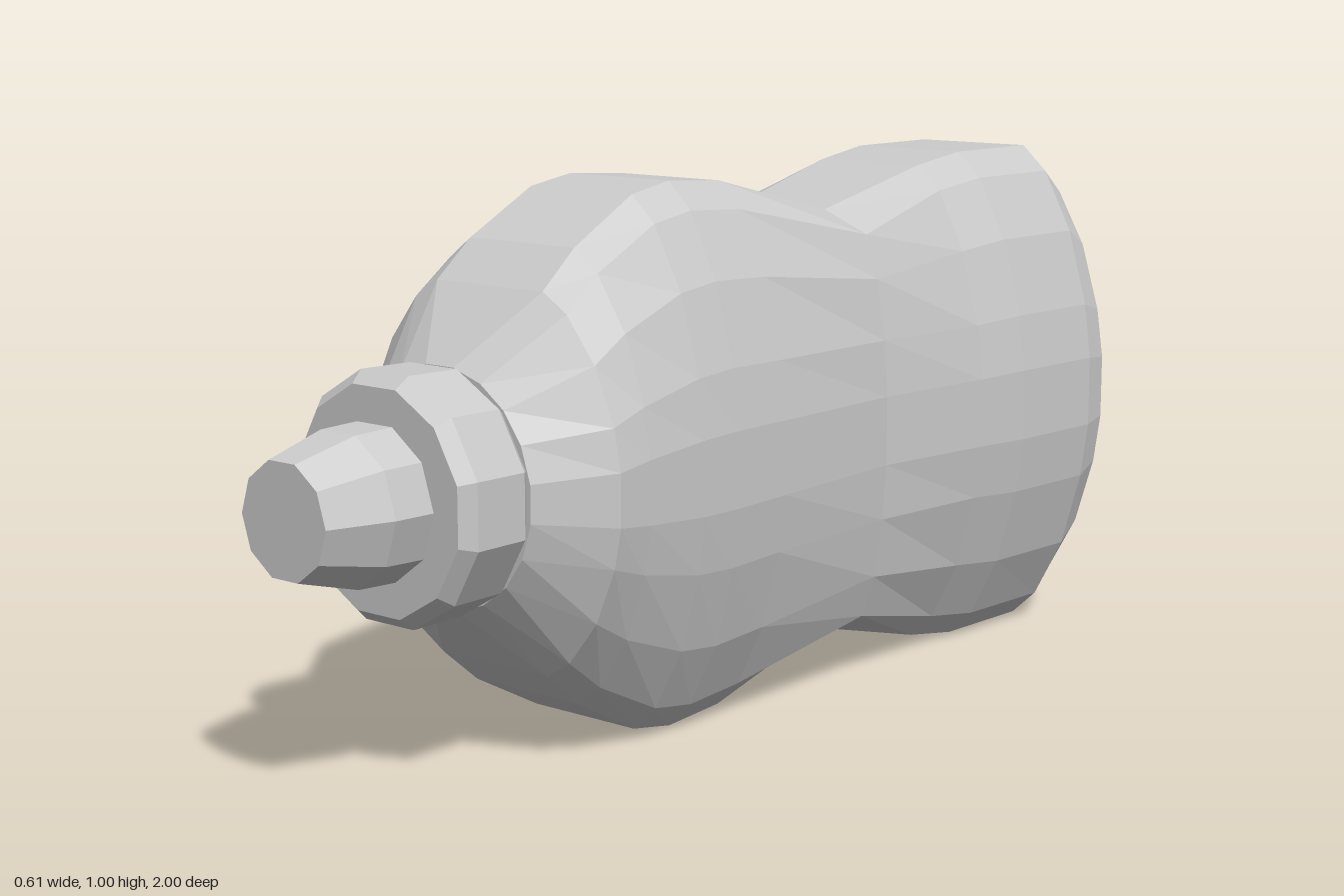
import * as THREE from 'three';

const material = new THREE.MeshStandardMaterial({ color: 0xcccccc, flatShading: true });
const CENTRE_Y = 0.502;

// One quadrant of each unit cross-section, from the side (+x) round to the top (+y)
const full = [[1, 0.14], [0.95, 0.36], [0.81, 0.66], [0.6, 0.9], [0.42, 1]];
const waist = [[1, 0.16], [0.97, 0.42], [0.9, 0.7], [0.79, 0.9], [0.4, 1]];
const round = [9, 27, 45, 63, 81].map((d) => [Math.cos(d * Math.PI / 180), Math.sin(d * Math.PI / 180)]);

// Mirror a quadrant into a closed counter-clockwise ring
function ring(q) {
  const r = [...q].reverse();
  return [
    ...q,
    ...r.map(([x, y]) => [-x, y]),
    ...q.map(([x, y]) => [-x, -y]),
    ...r.map(([x, y]) => [x, -y]),
  ];
}

// Body stations, base to shoulder: z, half width, half height, section
const stations = [
  [-1.0, 0.265, 0.405, full],
  [-0.98, 0.288, 0.445, full],
  [-0.91, 0.302, 0.499, full],
  [-0.68, 0.294, 0.499, full],
  [-0.55, 0.283, 0.48, full],
  [-0.27, 0.257, 0.412, waist],
  [0.06, 0.276, 0.49, full],
  [0.2, 0.284, 0.499, full],
  [0.3, 0.29, 0.482, full],
  [0.45, 0.298, 0.402, full],
  [0.53, 0.303, 0.335, full],
  [0.65, 0.213, 0.213, round],
];

function bodyGeometry() {
  const positions = [], index = [];
  const n = 20, last = stations.length - 1;
  for (const [z, hx, hy, section] of stations) {
    for (const [x, y] of ring(section)) positions.push(x * hx, y * hy, z);
  }
  for (let i = 0; i < last; i++) {
    for (let j = 0; j < n; j++) {
      const k = (j + 1) % n;
      const a = i * n + j, b = i * n + k, c = b + n, d = a + n;
      index.push(a, b, c, a, c, d);
    }
  }
  // Flat ends
  for (let j = 1; j < n - 1; j++) {
    index.push(0, j + 1, j);
    index.push(last * n, last * n + j, last * n + j + 1);
  }
  const geometry = new THREE.BufferGeometry();
  geometry.setAttribute('position', new THREE.Float32BufferAttribute(positions, 3));
  geometry.setIndex(index);
  geometry.computeVertexNormals();
  return geometry;
}

// Faceted part turned about the z axis; profile is [radius, z], back to front
function turned(profile, sides) {
  const points = profile.map(([r, z]) => new THREE.Vector2(r, z));
  return new THREE.LatheGeometry(points, sides, Math.PI / sides).rotateX(Math.PI / 2);
}

export function createModel() {
  const model = new THREE.Group();
  model.name = 'bottle';
  const add = (name, geometry) => {
    const mesh = new THREE.Mesh(geometry, material);
    mesh.name = name;
    mesh.position.y = CENTRE_Y;
    model.add(mesh);
  };

  add('body', bodyGeometry());
  add('collar', turned([[0, 0.64], [0.2, 0.64], [0.22, 0.665], [0.222, 0.775], [0.2, 0.8], [0, 0.8]], 12));
  add('nozzle', turned([[0, 0.79], [0.138, 0.79], [0.135, 0.88], [0.102, 1], [0, 1]], 10));
  return model;
}
